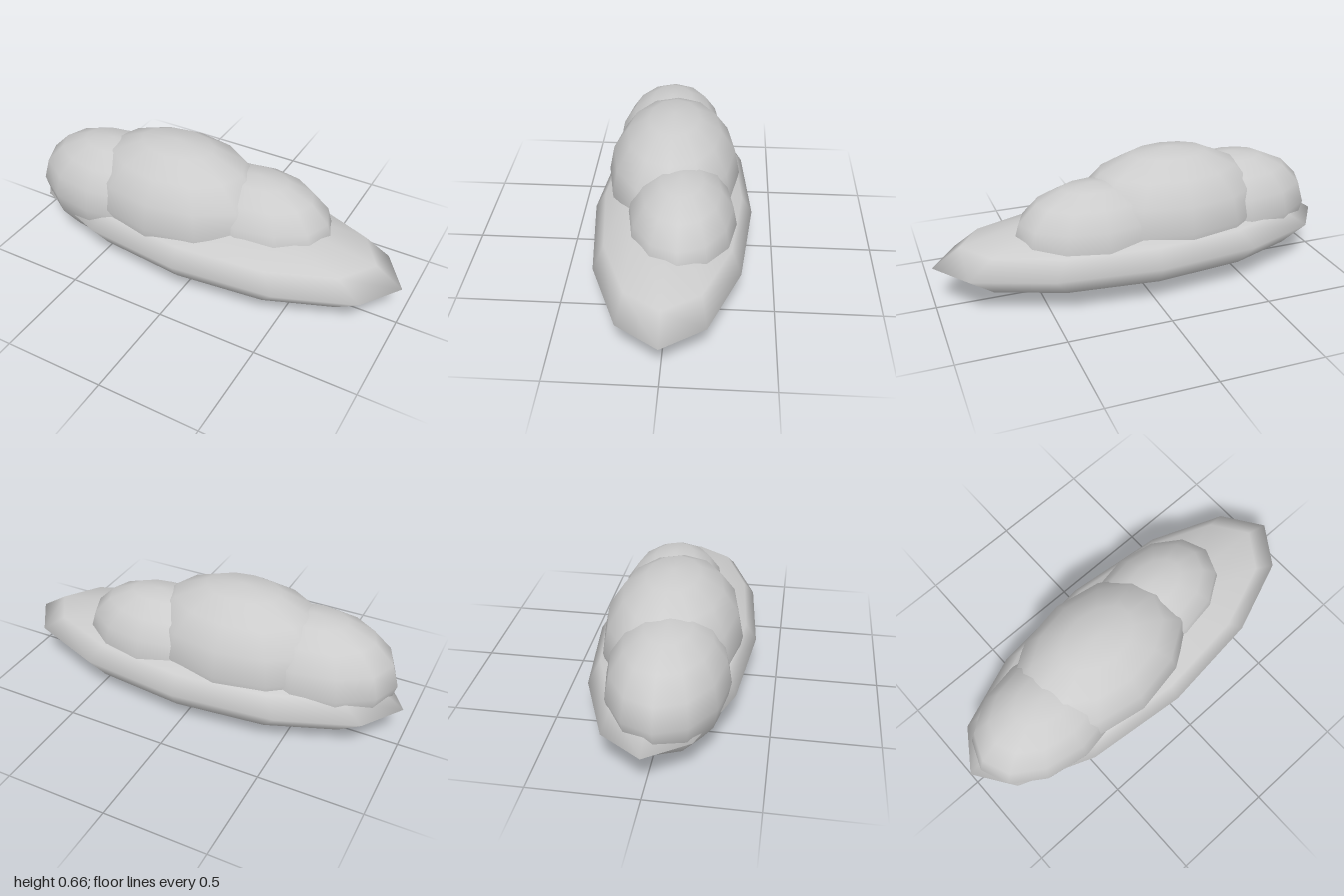
import * as THREE from 'three';

export function createModel() {
  const model = new THREE.Group();
  model.name = 'cloud';

  const cloudGrey = new THREE.MeshStandardMaterial({ color: 0xcccccc });
  cloudGrey.name = 'cloudGrey';

  // A smooth-shaded, coarse ellipsoid
  function puff(name, centre, radii, rings) {
    const geometry = new THREE.SphereGeometry(1, 12, rings);
    geometry.scale(...radii);
    const mesh = new THREE.Mesh(geometry, cloudGrey);
    mesh.name = name;
    mesh.position.set(...centre);
    model.add(mesh);
  }

  // Long flat base
  puff('base', [0, 0.21, 0], [1, 0.173, 0.39], 6);
  // Three overlapping billows on top
  puff('middlePuff', [-0.18, 0.33, 0.007], [0.5, 0.33, 0.33], 8);
  puff('rightPuff', [-0.53, 0.3, 0.04], [0.42, 0.28, 0.28], 8);
  puff('leftPuff', [0.23, 0.29, -0.053], [0.395, 0.265, 0.262], 8);
  // Small swelling that shows only under the base
  puff('undersidePuff', [0.6, 0.19, 0.09], [0.2, 0.125, 0.13], 8);

  return model;
}
